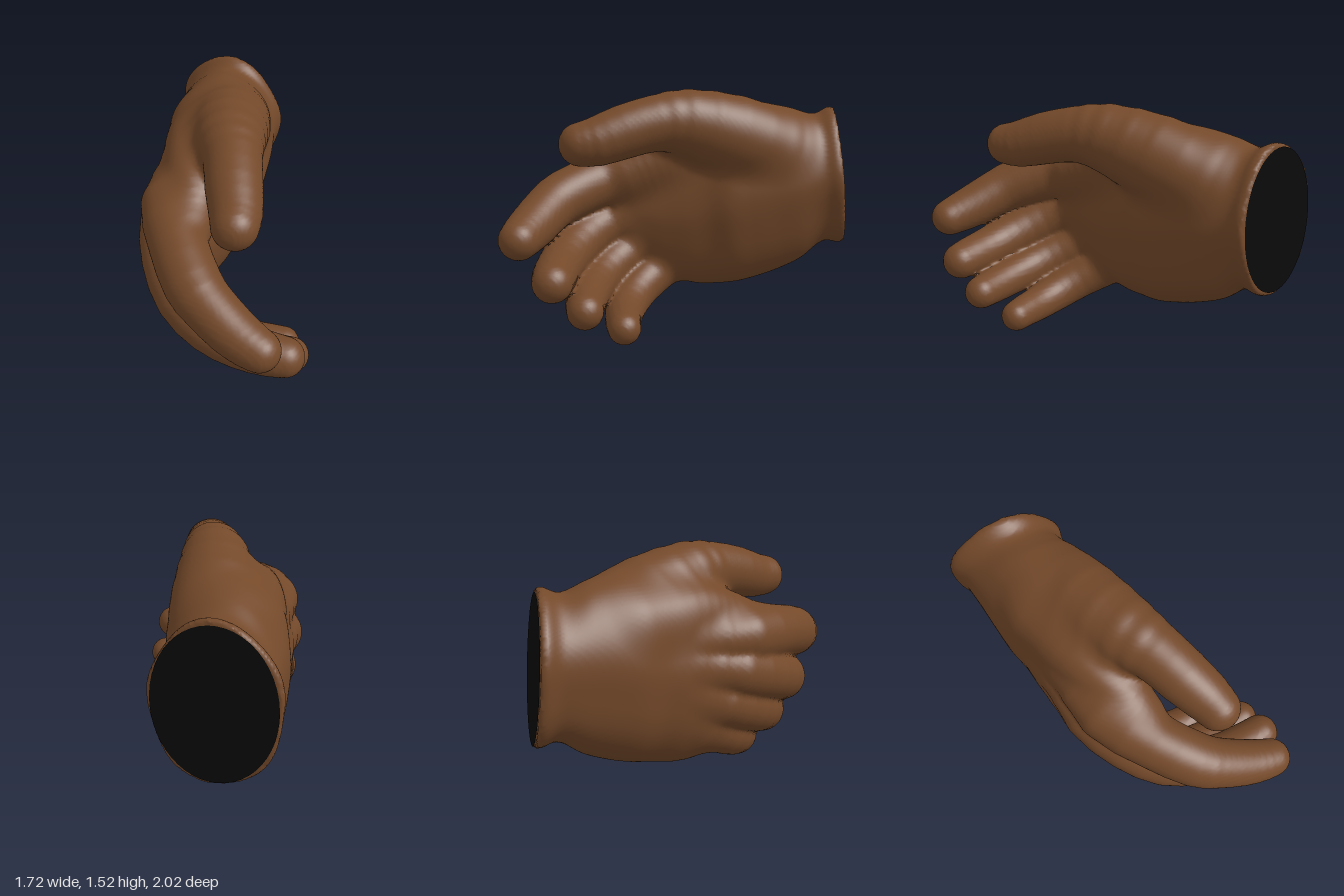
import * as THREE from 'three';

const skin = new THREE.MeshStandardMaterial({ color: 0x74492a });
const dark = new THREE.MeshStandardMaterial({ color: 0x0a0a0a });

// Thumb, web and fingers from base to tip: x, y, z, radius
const thumb = [
  [-0.34, 1.06, -0.64, 0.24], [-0.27, 1.11, -0.52, 0.265], [-0.15, 1.21, -0.28, 0.265],
  [0.01, 1.305, -0.01, 0.215], [0.13, 1.315, 0.17, 0.175], [0.24, 1.27, 0.35, 0.165],
  [0.33, 1.22, 0.49, 0.150], [0.375, 1.205, 0.583, 0.133],
];
const web = [
  [-0.38, 1.13, -0.35, 0.20], [-0.25, 1.14, -0.05, 0.20],
  [-0.13, 1.06, 0.20, 0.18], [-0.03, 0.97, 0.40, 0.15],
];
const fingers = [
  // index
  [[-0.36, 1.00, 0.02, 0.11], [-0.22, 0.97, 0.33, 0.175], [0.00, 0.92, 0.58, 0.172],
    [0.20, 0.85, 0.75, 0.168], [0.33, 0.80, 0.81, 0.155], [0.50, 0.73, 0.85, 0.145],
    [0.62, 0.695, 0.867, 0.132], [0.69, 0.68, 0.870, 0.120]],
  // middle
  [[-0.40, 0.86, 0.00, 0.11], [-0.30, 0.78, 0.26, 0.165], [-0.14, 0.68, 0.49, 0.165],
    [0.06, 0.58, 0.65, 0.160], [0.28, 0.50, 0.71, 0.150], [0.48, 0.46, 0.71, 0.138],
    [0.65, 0.45, 0.68, 0.130], [0.745, 0.45, 0.655, 0.119]],
  // ring
  [[-0.40, 0.69, -0.05, 0.11], [-0.32, 0.59, 0.16, 0.155], [-0.17, 0.47, 0.37, 0.155],
    [0.02, 0.365, 0.51, 0.150], [0.22, 0.30, 0.56, 0.140], [0.43, 0.275, 0.545, 0.128],
    [0.60, 0.27, 0.51, 0.118], [0.71, 0.275, 0.475, 0.108]],
  // little
  [[-0.36, 0.54, -0.10, 0.11], [-0.29, 0.43, 0.05, 0.150], [-0.16, 0.30, 0.22, 0.148],
    [0.00, 0.205, 0.33, 0.142], [0.18, 0.14, 0.365, 0.131], [0.35, 0.118, 0.345, 0.117],
    [0.48, 0.125, 0.31, 0.108], [0.57, 0.13, 0.28, 0.100]],
];

// Wrist and palm sections every 0.15 along the arm: x, y, half thickness, half height
const palmRows = [
  [-0.495, 0.92, 0.345, 0.430], [-0.45, 0.90, 0.345, 0.435], [-0.40, 0.865, 0.35, 0.51],
  [-0.36, 0.835, 0.35, 0.55], [-0.32, 0.79, 0.345, 0.555], [-0.275, 0.745, 0.325, 0.545],
  [-0.26, 0.705, 0.295, 0.525], [-0.225, 0.665, 0.26, 0.48], [-0.18, 0.66, 0.21, 0.42],
  [-0.12, 0.70, 0.15, 0.34], [-0.04, 0.76, 0.09, 0.24],
];
const wristPlane = -0.95;
const tilt = (x, y) => 0.13 * (x + 0.5) - 0.1 * (y - 0.92);

// Smooth interpolation through rows of numbers, t in 0..1
function sampleRows(rows, t) {
  const f = t * (rows.length - 1);
  const i = Math.min(Math.floor(f), rows.length - 2);
  const w = f - i;
  const p0 = rows[Math.max(i - 1, 0)], p1 = rows[i], p2 = rows[i + 1];
  const p3 = rows[Math.min(i + 2, rows.length - 1)];
  return p1.map((b, k) => {
    const m1 = (p2[k] - p0[k]) / 2, m2 = (p3[k] - b) / 2, d = p2[k] - b;
    return b + w * (m1 + w * (3 * d - 2 * m1 - m2 + w * (m1 + m2 - 2 * d)));
  });
}

// Distance to the wrist and palm, with a rolled lip and faint folds at the wrist
function palmDistance(x, y, z) {
  const w = z + tilt(x, y);
  const t = THREE.MathUtils.clamp((w - wristPlane) / 1.5, 0, 1);
  const [cx, cy, a, b] = sampleRows(palmRows, t);
  const lip = 0.03 * Math.exp(-(((w + 0.92) / 0.06) ** 2));
  const fold = 0.008 * Math.sin(5 * Math.atan2(y - cy, x - cx) + 1) * (1 - t);
  const rx = a + lip + fold, ry = b + lip + fold;
  const px = (x - cx) / rx, py = (y - cy) / ry;
  const k0 = Math.hypot(px, py) + 1e-9;
  const k1 = Math.hypot(px / rx, py / ry) + 1e-9;
  return Math.max(k0 * (k0 - 1) / k1, w - 0.55);
}

// Distance to a chain of tapered round spans
function limb(rows) {
  const spans = 14;
  const pts = Array.from({ length: spans + 1 }, (_, i) => sampleRows(rows, i / spans));
  return (x, y, z) => {
    let best = Infinity;
    for (let i = 0; i < spans; i++) {
      const p = pts[i], q = pts[i + 1];
      const ax = q[0] - p[0], ay = q[1] - p[1], az = q[2] - p[2];
      const dx = x - p[0], dy = y - p[1], dz = z - p[2];
      let h = (dx * ax + dy * ay + dz * az) / (ax * ax + ay * ay + az * az);
      h = Math.min(Math.max(h, 0), 1);
      const ex = dx - h * ax, ey = dy - h * ay, ez = dz - h * az;
      const d = Math.sqrt(ex * ex + ey * ey + ez * ez) - p[3] - h * (q[3] - p[3]);
      if (d < best) best = d;
    }
    return best;
  };
}

// Union with a soft fillet of size k
function blend(a, b, k) {
  const h = Math.max(k - Math.abs(a - b), 0) / k;
  return Math.min(a, b) - h * h * k / 4;
}

// Mesh the zero surface of a distance function: one vertex per crossed grid cell
function meshField(field, min, max, cell) {
  const [nx, ny, nz] = min.map((m, i) => Math.ceil((max[i] - m) / cell) + 1);
  const stride = [1, nx, nx * ny];
  const value = new Float32Array(nx * ny * nz);
  const vertex = new Int32Array(value.length);
  for (let n = 0; n < value.length; n++) {
    const i = n % nx, j = Math.floor(n / nx) % ny, k = Math.floor(n / stride[2]);
    value[n] = field(min[0] + i * cell, min[1] + j * cell, min[2] + k * cell);
  }
  const corner = Array.from({ length: 8 }, (_, c) => [c & 1, (c >> 1) & 1, c >> 2]);
  const offset = corner.map((c) => c[0] + c[1] * nx + c[2] * stride[2]);
  const positions = [], index = [];
  for (let k = 0; k < nz - 1; k++) for (let j = 0; j < ny - 1; j++) for (let i = 0; i < nx - 1; i++) {
    const n = i + j * nx + k * stride[2];
    const sum = [0, 0, 0];
    let count = 0;
    for (let c = 0; c < 8; c++) for (let axis = 0; axis < 3; axis++) {
      if (corner[c][axis]) continue;
      const a = value[n + offset[c]], b = value[n + offset[c] + stride[axis]];
      if ((a < 0) === (b < 0)) continue;
      for (let m = 0; m < 3; m++) sum[m] += corner[c][m] + (m === axis ? a / (a - b) : 0);
      count++;
    }
    if (!count) continue;
    vertex[n] = positions.length / 3;
    [i, j, k].forEach((g, m) => positions.push(min[m] + (g + sum[m] / count) * cell));
  }
  // one quad round every crossed grid edge
  for (let n = stride[2] + nx + 1; n < value.length - stride[2]; n++) {
    for (let axis = 0; axis < 3; axis++) {
      const inside = value[n] < 0;
      if (inside === (value[n + stride[axis]] < 0)) continue;
      const s = stride[(axis + 1) % 3], t = stride[(axis + 2) % 3];
      const [a, b, c, d] = [n, n - s, n - s - t, n - t].map((v) => vertex[v]);
      if (inside) index.push(a, b, c, a, c, d);
      else index.push(a, c, b, a, d, c);
    }
  }
  const geometry = new THREE.BufferGeometry();
  geometry.setAttribute('position', new THREE.Float32BufferAttribute(positions, 3));
  geometry.setIndex(index);
  geometry.computeVertexNormals();
  return geometry;
}

export function createModel() {
  const model = new THREE.Group();
  model.name = 'hand';

  // Palm, thumb and fingers melted into one skin, cut flat at the wrist
  const thumbDistance = limb(thumb), webDistance = limb(web);
  const fingerDistances = fingers.map(limb);
  const handDistance = (x, y, z) => {
    let d = blend(palmDistance(x, y, z), webDistance(x, y, z), 0.12);
    d = blend(d, thumbDistance(x, y, z), 0.08);
    const f = fingerDistances.map((finger) => finger(x, y, z));
    d = blend(d, f.reduce((a, b) => blend(a, b, 0.025)), 0.07);
    return Math.max(d, wristPlane - z - tilt(x, y));
  };
  const hand = new THREE.Mesh(
    meshField(handDistance, [-0.97, -0.06, -1.08], [0.95, 1.62, 1.07], 0.0171), skin);
  hand.name = 'palmThumbAndFingers';
  model.add(hand);

  // Dark end of the wrist, lying in the tilted cut and facing backwards
  const disc = new THREE.CircleGeometry(1, 48).rotateY(Math.PI).scale(0.355, 0.44, 1);
  const p = disc.attributes.position;
  for (let i = 0; i < p.count; i++) {
    const x = p.getX(i) - 0.495, y = p.getY(i) + 0.92;
    p.setXYZ(i, x, y, wristPlane - 0.004 - tilt(x, y));
  }
  disc.computeVertexNormals();
  const wristEnd = new THREE.Mesh(disc, dark);
  wristEnd.name = 'wristEnd';
  model.add(wristEnd);

  return model;
}
